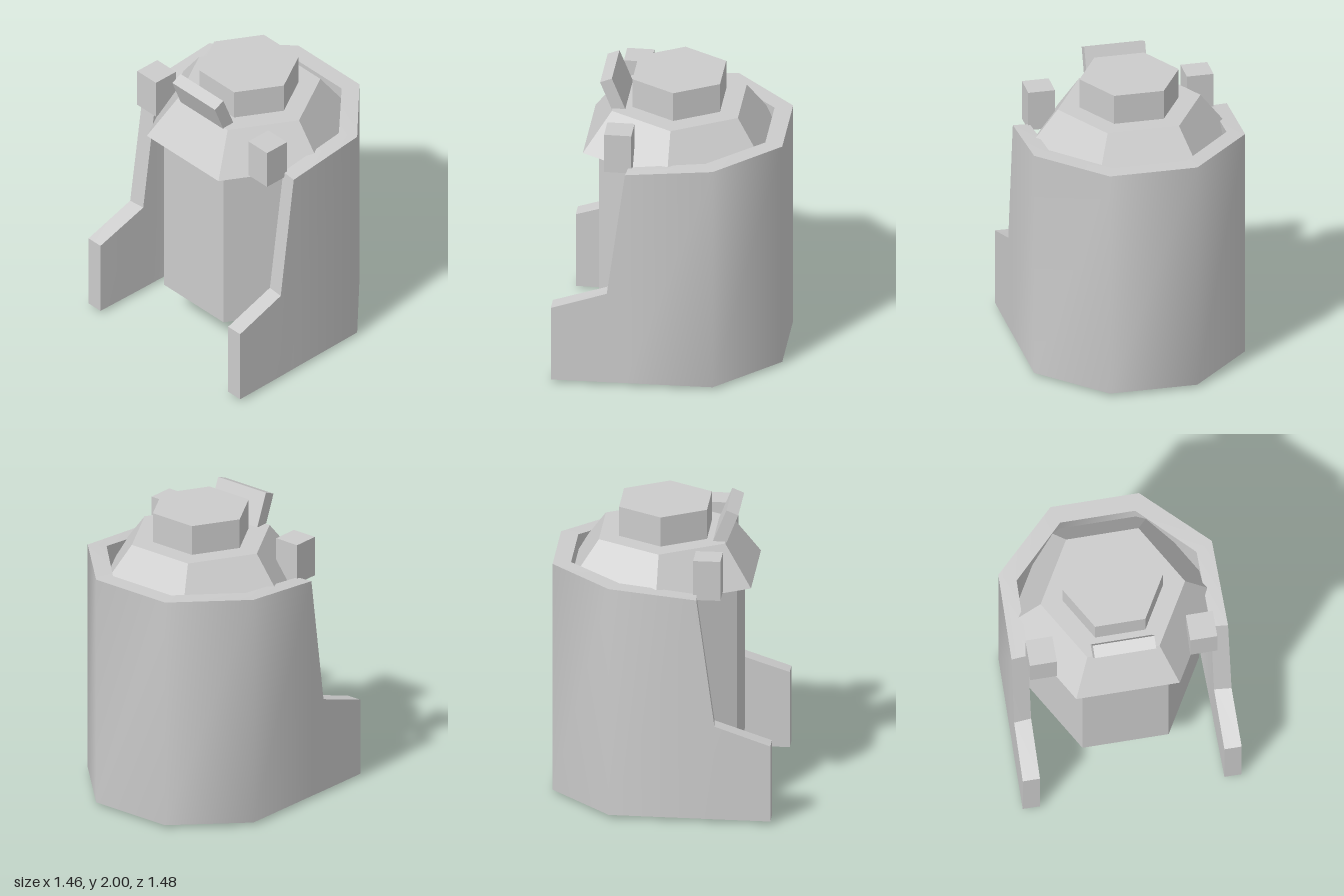
import * as THREE from 'three';
import { toCreasedNormals } from 'three/addons/utils/BufferGeometryUtils.js';

const CENTRE_Z = -0.022;

function addMesh(group, name, geometry, flatShading = true) {
  const material = new THREE.MeshStandardMaterial({ color: 0xcccccc, flatShading });
  const mesh = new THREE.Mesh(geometry, material);
  mesh.name = name;
  group.add(mesh);
  return mesh;
}

// Six-sided prism or frustum with corners on the x axis
function hexGeometry(rTop, rBottom, y0, y1, z = CENTRE_Z) {
  return new THREE.CylinderGeometry(rTop, rBottom, y1 - y0, 6)
    .rotateY(Math.PI / 6)
    .translate(0, (y0 + y1) / 2, z);
}

// Wall swept around a U-shaped plan, with its top height changing along the way
function shellGeometry() {
  // outer x, outer z, inner x, inner z, top y (left side, front to back)
  const half = [
    [0.73, 0.74, 0.615, 0.74, 0.55],
    [0.725, 0.37, 0.61, 0.36, 0.675],
    [0.722, 0.25, 0.61, 0.24, 1.56],
    [0.712, -0.33, 0.6, -0.27, 1.615],
    [0.295, -0.74, 0.25, -0.622, 1.615],
  ];
  const mirrored = half.map(([xo, zo, xi, zi, y]) => [-xo, zo, -xi, zi, y]).reverse();
  const bottom = 0.02;
  const rings = [...half, ...mirrored].map(([xo, zo, xi, zi, y]) => [
    [xo, bottom, zo], [xo, y, zo], [xi, y, zi], [xi, bottom, zi],
  ]);
  const positions = [];
  const quad = (a, b, c, d) => positions.push(...a, ...b, ...c, ...a, ...c, ...d);
  for (let i = 0; i < rings.length - 1; i++) {
    for (let k = 0; k < 4; k++) {
      const n = (k + 1) % 4;
      quad(rings[i][k], rings[i + 1][k], rings[i + 1][n], rings[i][n]);
    }
  }
  quad(...rings[0]);
  quad(...[...rings[rings.length - 1]].reverse());
  const geometry = new THREE.BufferGeometry();
  geometry.setAttribute('position', new THREE.Float32BufferAttribute(positions, 3));
  return toCreasedNormals(geometry, 0.87);
}

// Slanted plate: side outline drawn in (z, y), extruded along x
function plateGeometry(width) {
  const outline = [[0.478, 1.968], [0.4, 2.0], [0.305, 1.765], [0.385, 1.733]];
  const shape = new THREE.Shape(outline.map(([z, y]) => new THREE.Vector2(-z, y)));
  return new THREE.ExtrudeGeometry(shape, { depth: width, bevelEnabled: false })
    .translate(0, 0, -width / 2)
    .rotateY(Math.PI / 2);
}

export function createModel() {
  const model = new THREE.Group();
  model.name = 'hexCanister';

  // Outer wall, open at the front
  addMesh(model, 'shell', shellGeometry(), false);

  // Stacked hexagonal core
  addMesh(model, 'body', hexGeometry(0.575, 0.575, 0.278, 1.52));
  addMesh(model, 'shoulder', hexGeometry(0.482, 0.69, 1.51, 1.78));
  addMesh(model, 'cap', hexGeometry(0.335, 0.335, 1.77, 1.985));
  addMesh(model, 'bottomPin', hexGeometry(0.147, 0.147, 0, 0.29, -0.037));

  // Tilted plate in front of the cap
  addMesh(model, 'frontPlate', plateGeometry(0.41));

  // Blocks on the shoulder
  for (const [name, side] of [['leftBlock', 1], ['rightBlock', -1]]) {
    const block = new THREE.BoxGeometry(0.18, 0.275, 0.18);
    addMesh(model, name, block).position.set(side * 0.535, 1.6625, 0.31);
  }

  return model;
}
